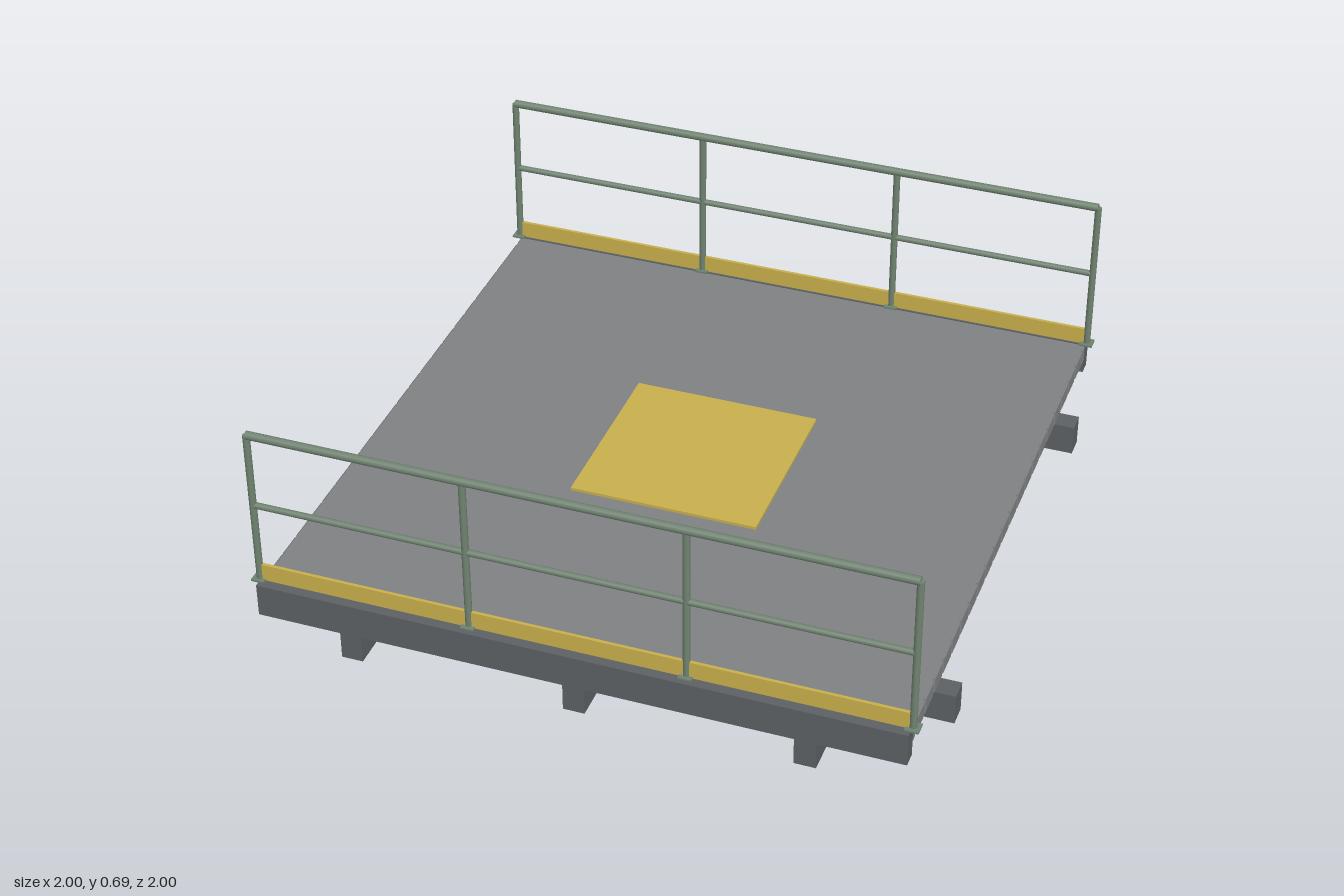
import * as THREE from 'three';

const mat = (color) => new THREE.MeshStandardMaterial({ color });
const steel = mat(0x5c6164);
const deckGrey = mat(0x808183);
const green = mat(0x6f8270);
const yellow = mat(0xc8b04c);

function add(parent, name, geometry, material, x, y, z) {
  const mesh = new THREE.Mesh(geometry, material);
  mesh.name = name;
  mesh.position.set(x, y, z);
  parent.add(mesh);
  return mesh;
}
const box = (parent, name, material, w, h, d, x, y, z) =>
  add(parent, name, new THREE.BoxGeometry(w, h, d), material, x, y, z);

// Plank running along x with chamfered long edges and ends
function plankGeometry(length, height, depth, c) {
  const w = depth / 2 - c, h = height / 2 - c;
  const shape = new THREE.Shape([
    new THREE.Vector2(-w, -h), new THREE.Vector2(w, -h),
    new THREE.Vector2(w, h), new THREE.Vector2(-w, h),
  ]);
  const g = new THREE.ExtrudeGeometry(shape, {
    depth: length - 2 * c, bevelEnabled: true, bevelSize: c, bevelThickness: c, bevelSegments: 1,
  });
  g.translate(0, 0, -length / 2 + c);
  g.rotateY(Math.PI / 2);
  return g;
}

// Guard rail along x: posts on base plates, two rails and a toe board
function guardRail(name, z) {
  const rail = new THREE.Group();
  rail.name = name;
  const top = 0.682, floor = 0.188, half = 0.953;
  for (const x of [-half, -half / 3, half / 3, half]) {
    add(rail, 'post', new THREE.CylinderGeometry(0.0105, 0.0105, top - floor, 16), green, x, (top + floor) / 2, 0);
    box(rail, 'postBasePlate', green, 0.04, 0.006, 0.04, x, floor + 0.002, 0);
  }
  for (const [part, r, y] of [['topRail', 0.0125, top], ['midRail', 0.0095, 0.445]]) {
    add(rail, part, new THREE.CylinderGeometry(r, r, 2 * half, 16), green, 0, y, 0).rotation.z = Math.PI / 2;
  }
  box(rail, 'toeBoard', yellow, 2 * half, 0.053, 0.01, 0, 0.2145, 0);
  rail.position.z = z;
  return rail;
}

export function createModel() {
  const model = new THREE.Group();
  model.name = 'platform';

  // Base frame: three skids along z crossed by two bearers along x
  const frame = new THREE.Group();
  frame.name = 'baseFrame';
  model.add(frame);
  for (const x of [-0.667, 0, 0.667]) box(frame, 'skid', steel, 0.064, 0.095, 2, x, 0.0475, 0);
  for (const z of [-0.667, 0.667]) box(frame, 'crossBearer', steel, 2, 0.095, 0.064, 0, 0.0475, z);

  // Edge beams closing the deck at front and back
  for (const s of [-1, 1]) box(frame, 'edgeBeam', steel, 1.9, 0.103, 0.046, 0, 0.1365, s * 0.977);

  // Deck: chamfered planks, with narrow closing strips beside the edge beams
  const deck = new THREE.Group();
  deck.name = 'deck';
  model.add(deck);
  const count = 21, pitch = 1.85 / count;
  const plank = plankGeometry(1.9, 0.061, pitch, 0.007);
  const strip = plankGeometry(1.9, 0.061, 0.04, 0.007);
  for (let i = 0; i < count; i++) {
    add(deck, 'plank', plank, deckGrey, 0, 0.1545, (i - (count - 1) / 2) * pitch);
  }
  for (const s of [-1, 1]) add(deck, 'edgeStrip', strip, deckGrey, 0, 0.1545, s * 0.945);

  // Square plate in the middle of the deck
  box(model, 'centrePlate', yellow, 0.57, 0.012, 0.57, 0, 0.188, 0);

  model.add(guardRail('frontGuardRail', 0.965), guardRail('backGuardRail', -0.965));
  return model;
}
